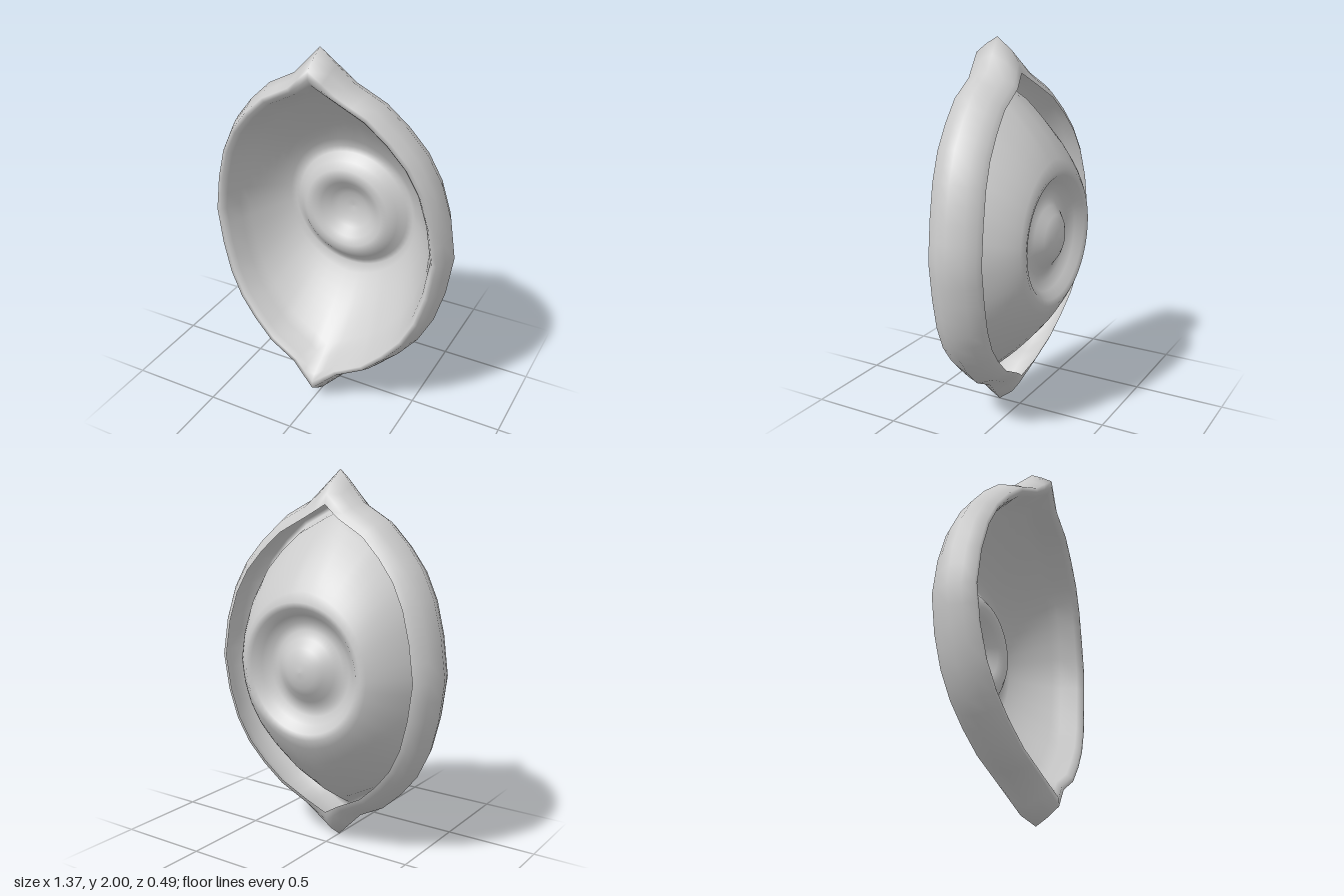
import * as THREE from 'three';

// One quarter of the pointed-oval outline, from the tip to the widest point
const QUARTER = [[0, 1], [0.16, 0.84], [0.31, 0.76], [0.43, 0.65], [0.53, 0.53], [0.605, 0.385], [0.655, 0.21], [0.685, 0]];
// Rim section: inset from the outline, depth
const RIM = [[0.1, -0.12], [0.07, -0.105], [0.035, -0.06], [0, 0.02], [0.022, 0.085], [0.047, 0.142], [0.07, 0.142], [0.09, 0.115], [0.12, 0.03]];
// Central boss section: radius, depth
const BOSS = [[0.355, -0.228], [0.325, -0.218], [0.285, -0.18], [0.245, -0.15], [0.205, -0.148], [0.165, -0.17], [0.12, -0.205], [0.085, -0.222], [0.045, -0.232], [0, -0.236]];
const DISH_STEPS = 8, SPLIT = 2;

// Mirrors the quarter into a full loop running clockwise from the top tip
function outline() {
  const half = [...QUARTER, ...QUARTER.slice(0, -1).reverse().map(([x, y]) => [x, -y])];
  const other = half.slice(1, -1).reverse().map(([x, y]) => [-x, y]);
  return [...half, ...other].map(([x, y]) => new THREE.Vector2(x, y));
}

// Insets the loop; the two tips are mitred, and depth swells toward them
function rimLoop(points, inset, depth) {
  const n = points.length;
  return points.map((p, i) => {
    const t = points[(i + 1) % n].clone().sub(points[(i + n - 1) % n]).normalize();
    const isTip = Math.abs(p.x) < 1e-6;
    const d = inset * (isTip ? 1.75 : 1);
    return new THREE.Vector3(p.x + t.y * d, p.y - t.x * d, depth + 0.11 * p.y * p.y);
  });
}

// Adds points halfway along every straight of a loop
function subdivide(loop) {
  return loop.flatMap((p, i) => Array.from({ length: SPLIT }, (_, k) =>
    p.clone().lerp(loop[(i + 1) % loop.length], k / SPLIT)));
}

function circleLoop(count, radius, depth) {
  return Array.from({ length: count }, (_, i) => {
    const a = (i / count) * Math.PI * 2;
    return new THREE.Vector3(Math.sin(a) * radius, Math.cos(a) * radius, depth);
  });
}

export function createModel() {
  const group = new THREE.Group();
  group.name = 'pointedDish';
  const base = outline();
  const loops = RIM.map(([inset, depth]) => subdivide(rimLoop(base, inset, depth)));
  const count = loops[0].length;

  // Dish wall blends from the pointed oval to the circle with a slight sag
  const inner = loops[loops.length - 1];
  const circle = circleLoop(count, ...BOSS[0]);
  for (let s = 1; s < DISH_STEPS; s++) {
    const t = s / DISH_STEPS;
    loops.push(inner.map((p, i) => {
      const v = p.clone().lerp(circle[i], t);
      v.z -= 0.14 * t * (1 - t);
      return v;
    }));
  }
  BOSS.forEach(([r, z]) => loops.push(circleLoop(count, r, z)));

  // Skin between neighbouring loops
  const bands = loops.slice(1).map((_, r) => {
    const index = [];
    for (let i = 0; i < count; i++) {
      const j = (i + 1) % count;
      const a = r * count + i, b = r * count + j, c = a + count, d = b + count;
      index.push(a, c, b);
      if (r < loops.length - 2) index.push(b, c, d);
    }
    return index;
  });
  const skin = new THREE.BufferGeometry().setFromPoints(loops.flat());
  skin.setIndex(bands.flat());
  skin.computeVertexNormals();

  // Parts share the skin's normals so that the joins stay smooth
  const material = new THREE.MeshStandardMaterial({ color: 0xcccccc, side: THREE.DoubleSide });
  const dishStart = RIM.length - 1, bossStart = dishStart + DISH_STEPS;
  const parts = { rim: [0, dishStart], dish: [dishStart, bossStart], centreBoss: [bossStart, bands.length] };
  for (const [name, [from, to]] of Object.entries(parts)) {
    const geometry = new THREE.BufferGeometry();
    geometry.setAttribute('position', skin.getAttribute('position'));
    geometry.setAttribute('normal', skin.getAttribute('normal'));
    geometry.setIndex(bands.slice(from, to).flat());
    const mesh = new THREE.Mesh(geometry, material);
    mesh.name = name;
    mesh.position.y = 1;
    group.add(mesh);
  }
  return group;
}
